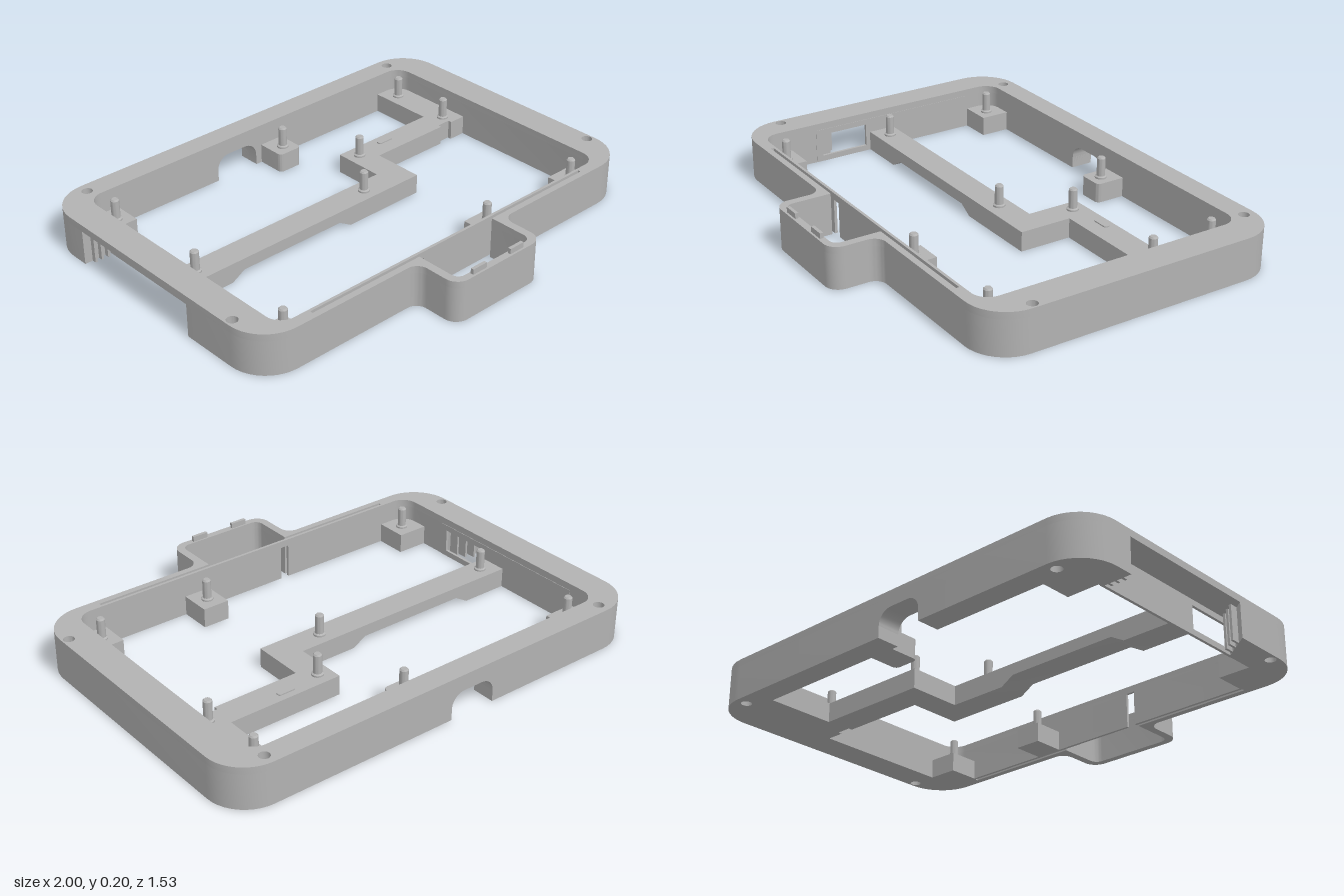
import * as THREE from 'three';
import { toCreasedNormals } from 'three/addons/utils/BufferGeometryUtils.js';

const H = 0.18;      // frame height
const RIM = 0.15;    // underside of the continuous top rim
const DECK = 0.085;  // top of the tabs and struts

// Path through points [x, z, cornerRadius]
function trace(path, pts) {
  const n = pts.length, k = 0.448;
  pts.forEach(([x, z, r = 0], i) => {
    const toward = ([qx, qz], d) => {
      const l = Math.hypot(qx - x, qz - z);
      return [x + (qx - x) * d / l, z + (qz - z) * d / l];
    };
    const prev = pts[(i + n - 1) % n], next = pts[(i + 1) % n];
    const a = r ? toward(prev, r) : [x, z];
    if (i) path.lineTo(...a); else path.moveTo(...a);
    if (r) path.bezierCurveTo(...toward(prev, r * k), ...toward(next, r * k), ...toward(next, r));
  });
  path.closePath();
  return path;
}
const shapeOf = (pts) => trace(new THREE.Shape(), pts);
const holeOf = (pts) => trace(new THREE.Path(), pts);
const circle = (x, z, r) => new THREE.Path().absarc(x, z, r, 0, Math.PI * 2, true);
const rect = (x0, x1, z0, z1, r = 0) => [[x0, z0, r], [x1, z0, r], [x1, z1, r], [x0, z1, r]];
const extrude = (shape, depth) =>
  toCreasedNormals(new THREE.ExtrudeGeometry(shape, { depth, bevelEnabled: false, curveSegments: 10 }), 0.6);

export function createModel() {
  const model = new THREE.Group();
  const grey = new THREE.MeshStandardMaterial({ color: 0xb2b2b2 });
  grey.name = 'grey plastic';

  const add = (name, geo) => {
    const mesh = new THREE.Mesh(geo, grey);
    mesh.name = name;
    model.add(mesh);
    return mesh;
  };
  // Plan shape (x, z) raised from y0 to y1
  const slab = (name, shape, y0, y1) =>
    add(name, extrude(shape, y1 - y0).rotateX(Math.PI / 2).translate(0, y1, 0));
  const box = (name, x0, x1, y0, y1, z0, z1) =>
    add(name, new THREE.BoxGeometry(x1 - x0, y1 - y0, z1 - z0)
      .translate((x0 + x1) / 2, (y0 + y1) / 2, (z0 + z1) / 2));

  const screws = [[-0.835, -0.72], [0.835, -0.72], [-0.97, 0.37], [0.97, 0.37]];
  const drill = (shape, list) => list.forEach(([x, z]) => shape.holes.push(circle(x, z, 0.023)));

  // Front outline with the protruding bay, from right corner to left corner
  const front = [
    [1, 0.56, 0.17], [0.235, 0.56, 0.05], [0.235, 0.765, 0.06],
    [-0.235, 0.765, 0.06], [-0.235, 0.56, 0.05], [-1, 0.56, 0.17],
  ];
  // Bay pocket joined to the long thin slots, starting and ending at the slit
  const pocket = [
    [0.735, 0.52], [0.735, 0.533], [0.2, 0.533], [0.2, 0.735, 0.035],
    [-0.2, 0.735, 0.035], [-0.2, 0.533], [-0.735, 0.533], [-0.735, 0.52],
  ];

  // Continuous top rim
  const rim = shapeOf([[-1, -0.77, 0.17], [1, -0.77, 0.17], ...front]);
  rim.holes.push(holeOf(rect(-0.87, 0.862, -0.67, 0.508, 0.07)), holeOf(pocket));
  drill(rim, screws);
  slab('topRim', rim, RIM, H);

  // Lower wall: right, front and half of the back
  const wall = shapeOf([
    [0, -0.77], [1, -0.77, 0.17], ...front,
    [-1, 0.14], [-0.87, 0.24], [-0.87, 0.508, 0.07],
    [-0.2, 0.508], [-0.2, 0.52], ...pocket.slice().reverse(),
    [-0.16, 0.52], [-0.16, 0.508],
    [0.862, 0.508, 0.07], [0.862, -0.67, 0.07], [0, -0.67],
  ]);
  drill(wall, screws.slice(1));
  slab('mainWall', wall, 0, RIM);

  // Lower wall: back corner beside the side opening
  const corner = shapeOf([
    [-0.21, -0.77], [-0.21, -0.67], [-0.87, -0.67, 0.07], [-0.87, -0.52], [-1, -0.52], [-1, -0.77, 0.17],
  ]);
  drill(corner, screws.slice(0, 1));
  slab('backCornerWall', corner, 0, RIM);

  // Arched cable notch in the back wall
  const arch = shapeOf([
    [-0.21, 0], [-0.21, 0.11, 0.06], [0, 0.11, 0.06], [0, 0], [0, RIM], [-0.21, RIM],
  ]);
  add('cableNotch', extrude(arch, 0.1).translate(0, 0, -0.77));

  // Thin inner skin behind the side opening, with a window
  const skin = shapeOf(rect(-0.53, 0.25, 0, RIM));
  skin.holes.push(holeOf(rect(0, 0.22, 0.025, 0.125)));
  add('sideSkin', extrude(skin, 0.012).rotateY(-Math.PI / 2).translate(-0.868, 0, 0));

  // Small upright fins at both ends of the opening
  for (let i = 0; i < 3; i++) {
    const x = -0.965 + i * 0.03;
    box('frontFin', x, x + 0.01, 0, RIM, 0.13 + i * 0.023, 0.19 + i * 0.023);
    box('backFin', x, x + 0.01, 0, RIM, -0.53, -0.5);
  }

  // Corner and edge mounting tabs
  [[-0.87, -0.73, -0.67, -0.54], [-0.87, -0.73, 0.37, 0.508],
    [0.22, 0.34, 0.37, 0.508], [0.73, 0.865, 0.37, 0.508]]
    .forEach(([x0, x1, z0, z1]) => box('mountTab', x0, x1, 0, DECK, z0, z1));
  slab('backTab', shapeOf([[0.03, -0.68], [0.145, -0.68], [0.145, -0.54, 0.02], [0.03, -0.54, 0.02]]), 0, DECK);

  // Stepped strut on the right
  slab('steppedStrut', shapeOf([
    [0.73, -0.675], [0.865, -0.675], [0.865, -0.25], [0.785, -0.25], [0.785, -0.267], [0.72, -0.267],
    [0.72, -0.25], [0.34, -0.25], [0.34, -0.02], [0.22, -0.02], [0.22, -0.37], [0.73, -0.37],
  ]), 0, DECK);
  slab('strutKey', shapeOf(rect(0.41, 0.487, -0.342, -0.317, 0.008)), DECK, DECK + 0.005);

  // Long strut with a relieved underside
  const relief = shapeOf([
    [-0.87, 0], [-0.66, 0], [-0.6, 0.035], [-0.1, 0.035], [-0.04, 0], [0.22, 0], [0.22, DECK], [-0.87, DECK],
  ]);
  add('longStrut', extrude(relief, 0.12).translate(0, 0, -0.14));

  // Locating pins, each with a small collar
  const pinProfile = [[0, 0], [0.025, 0], [0.025, 0.008], [0.018, 0.012], [0.018, 0.09], [0.013, 0.096], [0, 0.096]];
  const pin = toCreasedNormals(
    new THREE.LatheGeometry(pinProfile.map(([r, y]) => new THREE.Vector2(r, y)), 20), 0.5);
  [[-0.79, -0.595], [0.09, -0.595], [0.79, -0.595], [0.28, -0.31], [0.79, -0.31],
    [-0.79, -0.08], [0.09, -0.08], [-0.79, 0.435], [0.28, 0.435], [0.79, 0.435]]
    .forEach(([x, z]) => add('pin', pin).position.set(x, DECK - 0.001, z));

  // Latch clips on top of the bay
  [-0.105, 0.098].forEach((x) => box('latchClip', x - 0.036, x + 0.036, H - 0.01, 0.203, 0.742, 0.756));

  return model;
}
